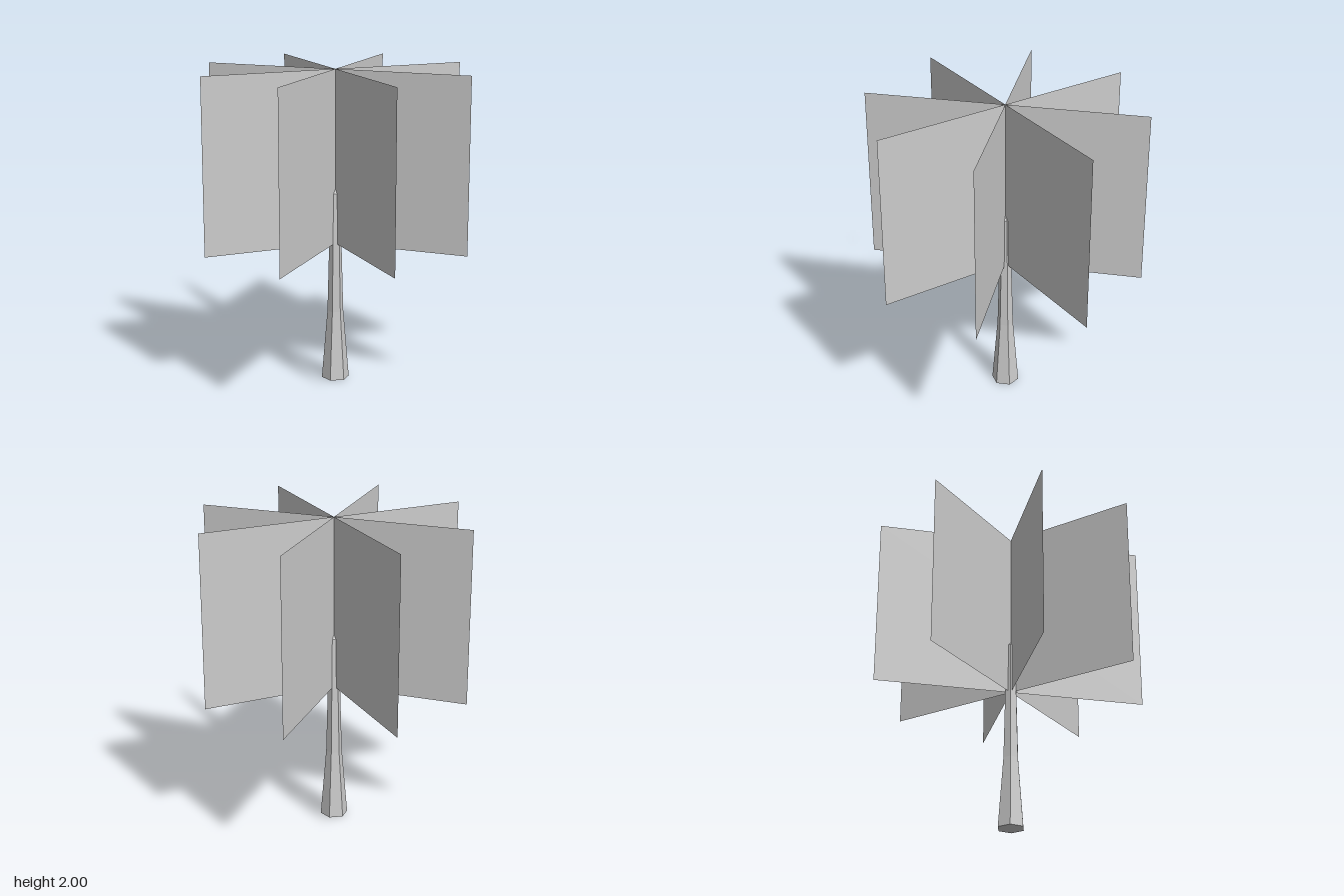
import * as THREE from 'three';

const TRUNK_SIDES = 6;
const CARD_COUNT = 4;
const CARD_WIDTH = 1.732;
const CARD_BOTTOM = 0.895;
const CARD_TOP = 2;

export function createModel() {
  const model = new THREE.Group();
  model.name = 'tree';

  // Tapered six-sided trunk, closed underneath and pointed on top; a corner faces +z
  const profile = [
    [0, 0], [0.088, 0], [0.051, 0.45], [0.031, 1.22], [0, 1.245],
  ].map(([r, y]) => new THREE.Vector2(r, y));
  const trunk = new THREE.Mesh(
    new THREE.LatheGeometry(profile, TRUNK_SIDES),
    new THREE.MeshStandardMaterial({ color: 0xcccccc, flatShading: true }),
  );
  trunk.name = 'trunk';
  model.add(trunk);

  // Flat foliage cards crossing on the trunk axis, evenly turned
  const foliage = new THREE.Group();
  foliage.name = 'foliage';
  const cardGeometry = new THREE.PlaneGeometry(CARD_WIDTH, CARD_TOP - CARD_BOTTOM);
  const cardMaterial = new THREE.MeshStandardMaterial({
    color: 0xcccccc, flatShading: true, side: THREE.DoubleSide,
  });
  for (let i = 0; i < CARD_COUNT; i++) {
    const card = new THREE.Mesh(cardGeometry, cardMaterial);
    card.name = `foliageCard${i + 1}`;
    card.position.y = (CARD_TOP + CARD_BOTTOM) / 2;
    card.rotation.y = (i * Math.PI) / CARD_COUNT;
    foliage.add(card);
  }
  model.add(foliage);

  return model;
}
